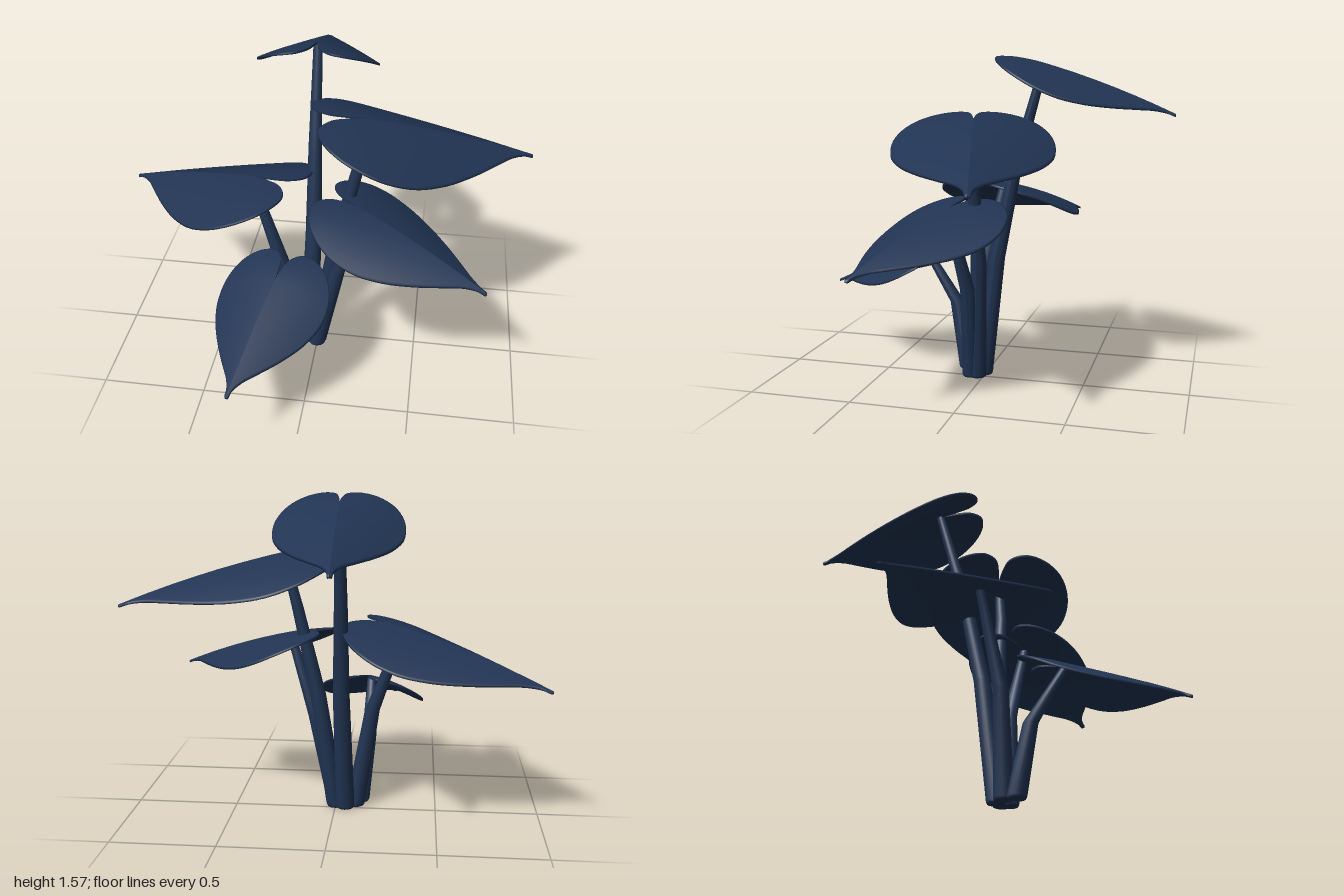
import * as THREE from 'three';

const navy = new THREE.MeshStandardMaterial({ color: 0x213453 });
navy.name = 'deep navy';

// Builds a smooth surface from rows of [x, y, z] points.
function surface(rows, flip, name) {
  const cols = rows[0].length, index = [];
  for (let i = 0; i < rows.length - 1; i++) {
    for (let j = 0; j < cols - 1; j++) {
      const a = i * cols + j, b = a + cols, c = a + 1, d = b + 1;
      if (flip) index.push(a, c, b, b, c, d);
      else index.push(a, b, c, b, d, c);
    }
  }
  const geo = new THREE.BufferGeometry();
  geo.setAttribute('position', new THREE.Float32BufferAttribute(rows.flat(2), 3));
  geo.setIndex(index);
  geo.computeVertexNormals();
  const mesh = new THREE.Mesh(geo, navy);
  mesh.name = name;
  return mesh;
}

// Half of a heart-shaped blade: [forward, sideways], stalk joint at the origin, tip at 1.
const outline = new THREE.CatmullRomCurve3([
  [1, 0], [0.995, 0.013], [0.94, 0.022], [0.85, 0.065], [0.72, 0.16], [0.55, 0.28],
  [0.35, 0.395], [0.15, 0.465], [-0.05, 0.465], [-0.22, 0.385], [-0.32, 0.25],
  [-0.33, 0.13], [-0.25, 0.045], [-0.12, 0.012], [-0.02, 0],
].map(([f, s]) => new THREE.Vector3(s, 0, f))).getPoints(64);

// Blade arched down from the midrib, running from the stalk joint to the tip.
function makeLeaf(joint, tip, droop) {
  const dx = tip[0] - joint[0], dz = tip[2] - joint[2];
  const length = Math.hypot(dx, dz);
  const slope = (joint[1] - tip[1]) / length - 0.09;
  const height = (f, s) => -slope * f - (f < 0 ? 0.33 : 0.09) * f * f
    - droop * s * (0.13 + 0.35 * f + 0.45 * s);
  const steps = [0, 0.12, 0.25, 0.4, 0.55, 0.7, 0.82, 0.92, 0.98, 1];
  const leaf = new THREE.Group();
  for (const side of [1, -1]) {
    const row = (u, lift) => outline.map((p) => {
      const f = p.z * u, s = Math.max(0, p.x) * u;
      return [side * s * length, height(f, s) * length + lift, f * length];
    });
    // Upper face outward, then lower face back to the joint
    const rows = [
      ...steps.map((u) => row(u, 0.005)),
      ...[...steps].reverse().map((u) => row(u, -0.005)),
    ];
    leaf.add(surface(rows, side < 0, side > 0 ? 'leafHalfA' : 'leafHalfB'));
  }
  leaf.position.set(...joint);
  leaf.rotation.y = Math.atan2(dx, dz);
  return leaf;
}

// Tapered stalk through a few centre points, closed at both ends.
function makeStalk(points, name) {
  const sides = 12, last = points.length - 1, rows = [];
  const ring = ([x, y, z], r) => Array.from({ length: sides + 1 }, (_, k) => {
    const a = (k / sides) * Math.PI * 2;
    return [x + r * Math.cos(a), y, z + r * Math.sin(a)];
  });
  rows.push(ring(points[0], 0), ring(points[0], 0.042));
  points.forEach((p, i) => {
    const t = p[1] / points[last][1];
    rows.push(ring(i ? p : [p[0], 0.012, p[2]], 0.047 - 0.026 * t ** 1.5));
  });
  rows.push(ring(points[last], 0));
  return surface(rows, false, name);
}

export function createModel() {
  const model = new THREE.Group();
  model.name = 'leafyPlant';

  const plan = [
    { name: 'back', joint: [-0.045, 1.53, -0.28], tip: [-0.06, 1.3, -0.89], droop: 1,
      stalk: [[-0.05, 0, 0.01], [-0.035, 0.6, -0.06], [-0.04, 1.05, -0.15]] },
    { name: 'upperLeft', joint: [0.24, 1.28, -0.02], tip: [0.99, 1.05, -0.21], droop: 0.85,
      stalk: [[0, 0, 0.03], [0.085, 0.6, 0], [0.18, 1.02, 0]] },
    { name: 'right', joint: [-0.33, 0.93, -0.02], tip: [-1, 0.71, -0.305], droop: 0.85,
      stalk: [[-0.1, 0, 0.05], [-0.18, 0.5, 0.05]] },
    { name: 'front', joint: [-0.16, 0.595, 0.34], tip: [-0.28, 0.37, 0.885], droop: 1,
      stalk: [[-0.12, 0, 0.11], [-0.16, 0.33, 0.18]] },
    { name: 'lowerLeft', joint: [0.23, 0.87, 0.11], tip: [0.81, 0.65, 0.365], droop: 0.85,
      stalk: [[0, 0, 0.06], [0.1, 0.46, 0.05]] },
  ];

  for (const { name, joint, tip, droop, stalk } of plan) {
    const leaf = makeLeaf(joint, tip, droop);
    leaf.name = name + 'Leaf';
    const end = [joint[0], joint[1] - 0.008, joint[2]];
    model.add(leaf, makeStalk([...stalk, end], name + 'Stalk'));
  }
  return model;
}
